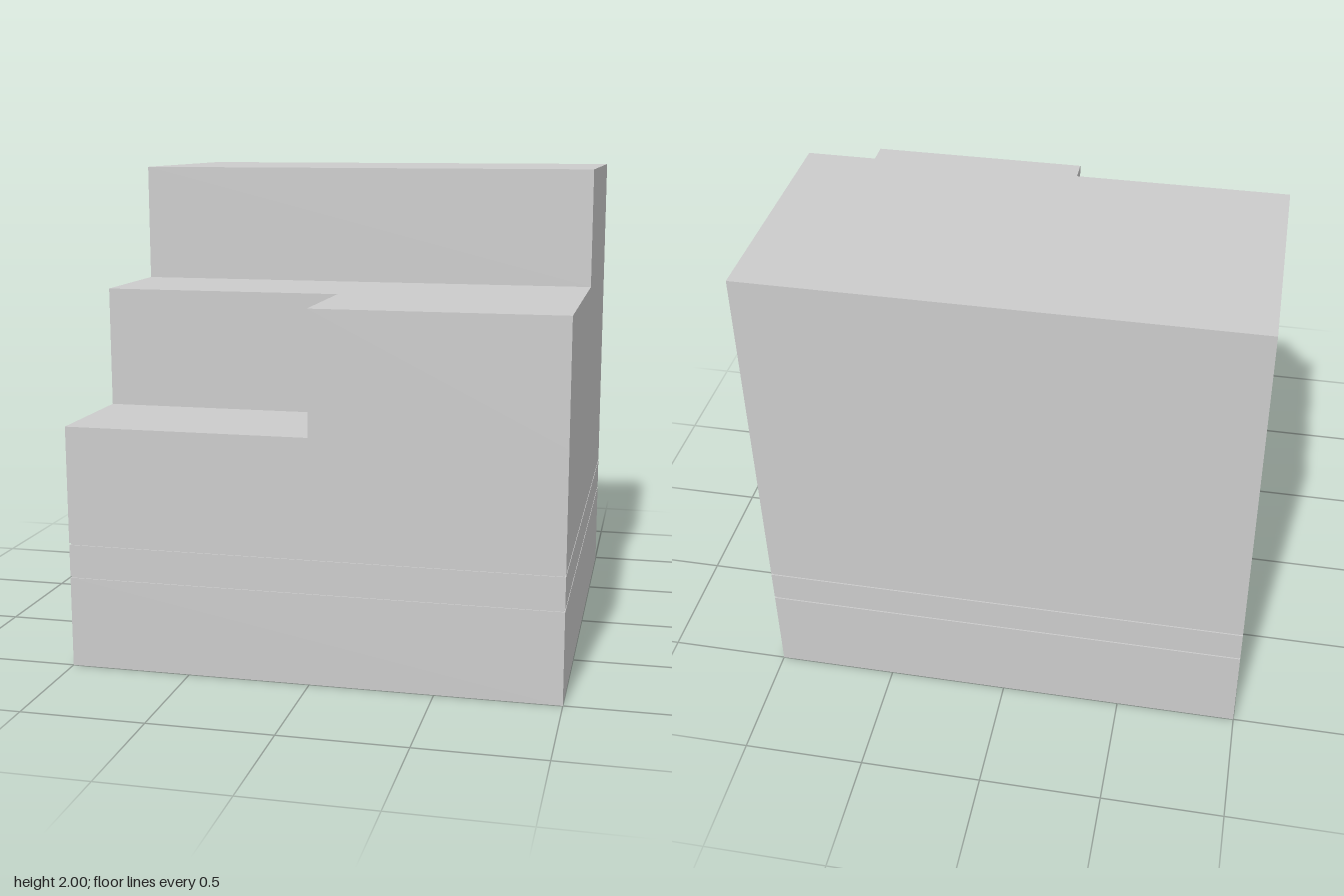
import * as THREE from 'three';

const material = new THREE.MeshStandardMaterial({ color: 0xcccccc, flatShading: true });

// Plan outline (x, z) raised from y0 to y1
function layer(name, plan, y0, y1) {
  const shape = new THREE.Shape(plan.map(([x, z]) => new THREE.Vector2(x, -z)));
  const geometry = new THREE.ExtrudeGeometry(shape, { depth: y1 - y0, bevelEnabled: false });
  geometry.rotateX(-Math.PI / 2);
  geometry.translate(0, y0, 0);
  const mesh = new THREE.Mesh(geometry, material);
  mesh.name = name;
  return mesh;
}

const rect = (x0, x1, z0, z1) => [[x0, z1], [x1, z1], [x1, z0], [x0, z0]];

export function createModel() {
  const group = new THREE.Group();
  group.name = 'steppedBlock';
  const full = rect(-1, 1, -1, 1);
  const inset = rect(-0.995, 0.995, -0.995, 0.995);

  // Base, with a band set off by two hairline grooves
  group.add(
    layer('base', full, 0, 0.373),
    layer('lowerGroove', inset, 0.373, 0.381),
    layer('band', full, 0.381, 0.511),
    layer('upperGroove', inset, 0.511, 0.519),
    layer('lowerBody', full, 0.519, 1)
  );

  // Middle tier, notched at the front right corner
  const notched = [[0, 1], [1, 1], [1, -1], [-1, -1], [-1, 0.5], [0, 0.5]];
  group.add(layer('middleStep', notched, 1, 1.5));

  // Top tier across the back half
  group.add(layer('topStep', rect(-1, 1, -1, 0), 1.5, 2));
  return group;
}
